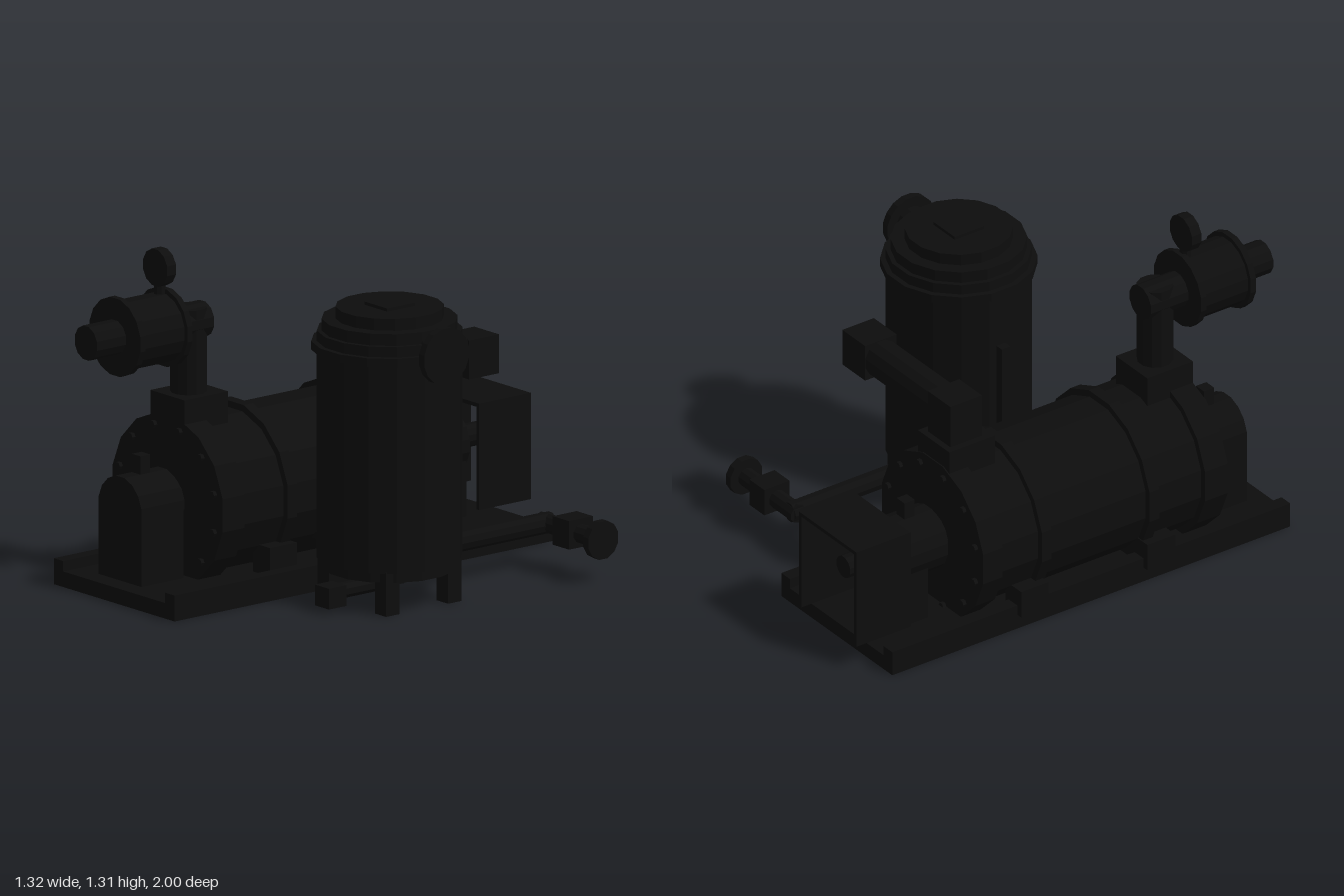
import * as THREE from 'three';

export function createModel() {
  const model = new THREE.Group();
  model.name = 'pumpSkid';
  const black = new THREE.MeshStandardMaterial({ color: 0x0d0d0d, flatShading: true });
  black.name = 'blackPaint';

  const add = (name, geometry, x, y, z) => {
    const mesh = new THREE.Mesh(geometry, black);
    mesh.name = name;
    mesh.position.set(x, y, z);
    model.add(mesh);
    return mesh;
  };
  // Box given by its extents on each axis
  const box = (name, x0, x1, y0, y1, z0, z1) =>
    add(name, new THREE.BoxGeometry(x1 - x0, y1 - y0, z1 - z0), (x0 + x1) / 2, (y0 + y1) / 2, (z0 + z1) / 2);
  // Faceted cylinder from a to b along one axis; p and q are the other two coordinates in x, y, z order
  const cyl = (name, axis, r, a, b, p, q, sides = 16) => {
    const g = new THREE.CylinderGeometry(r, r, b - a, sides);
    g.rotateY(Math.PI / sides);
    const m = (a + b) / 2;
    if (axis === 'x') { g.rotateZ(-Math.PI / 2); return add(name, g, m, p, q); }
    if (axis === 'z') { g.rotateX(Math.PI / 2); return add(name, g, p, q, m); }
    return add(name, g, p, m, q);
  };

  const PX = -0.34, PY = 0.335; // pump axis
  const VX = 0.327, VZ = 0.083; // vessel axis

  // Skid base with raised side rails
  box('basePlate', -0.63, 0.075, 0, 0.06, -0.915, 0.915);
  box('leftRail', 0.02, 0.075, 0.06, 0.1, -0.915, 0.915);
  box('rightRail', -0.63, -0.575, 0.06, 0.1, -0.915, 0.915);

  // Pump casing, end flanges and ribs
  cyl('pumpCasing', 'z', 0.302, -0.515, 0.6, PX, PY);
  for (const [a, b] of [[-0.52, -0.43], [-0.25, -0.205], [0.245, 0.29], [0.5, 0.605]])
    cyl('casingFlange', 'z', 0.328, a, b, PX, PY);
  for (const z of [0.61, -0.525])
    for (let i = 0; i < 12; i++) {
      const t = (i + 0.5) * Math.PI / 6;
      cyl('flangeBolt', 'z', 0.015, z - 0.01, z + 0.01, PX + 0.285 * Math.cos(t), PY + 0.285 * Math.sin(t), 6);
    }
  // Mounting feet
  for (const [a, b] of [[-0.34, -0.215], [0.24, 0.37]])
    for (const s of [-1, 1]) {
      const x = PX + s * 0.265;
      box('mountingFoot', x - 0.05, x + 0.05, 0.06, 0.17, a, b);
    }

  // Bearing housings with pedestals and oil cups
  cyl('frontNeck', 'z', 0.1, 0.6, 0.64, PX, PY);
  cyl('frontBearing', 'z', 0.127, 0.63, 0.835, PX, PY);
  box('frontPedestal', PX - 0.125, PX + 0.125, 0.06, PY, 0.63, 0.835);
  box('frontOilCup', PX - 0.025, PX + 0.025, 0.45, 0.53, 0.71, 0.757);
  cyl('backNeck', 'z', 0.1, -0.55, -0.51, PX, PY);
  cyl('backBearing', 'z', 0.127, -0.755, -0.54, PX, PY);
  box('backPedestal', PX - 0.11, PX + 0.11, 0.06, 0.28, -0.75, -0.62);
  box('backOilCup', PX - 0.025, PX + 0.025, 0.45, 0.53, -0.667, -0.62);

  // Drive shaft inside an open-ended guard
  cyl('driveShaft', 'z', 0.045, -0.93, -0.75, PX, PY, 12);
  box('guardTop', -0.52, -0.155, 0.495, 0.51, -1, -0.75);
  box('guardLeftWall', -0.17, -0.155, 0.1, 0.51, -1, -0.75);
  box('guardRightWall', -0.52, -0.505, 0.1, 0.51, -1, -0.75);

  // Inlet riser and silencer
  box('inletPort', PX - 0.1, PX + 0.1, 0.55, 0.735, 0.395, 0.605);
  cyl('inletRiser', 'y', 0.069, 0.72, 1.06, PX, 0.503, 12);
  cyl('inletElbow', 'z', 0.07, 0.435, 0.63, PX, 1.003, 12);
  cyl('silencerBody', 'z', 0.134, 0.62, 0.84, PX, 1.003);
  cyl('silencerFrontFlange', 'z', 0.152, 0.835, 0.86, PX, 1.003);
  cyl('silencerBackFlange', 'z', 0.152, 0.607, 0.632, PX, 1.003);
  cyl('inletNozzle', 'z', 0.067, 0.85, 1, PX, 1.003, 12);
  cyl('handwheelStem', 'y', 0.022, 1.12, 1.2, PX, 0.643, 8);
  cyl('handwheel', 'z', 0.073, 0.622, 0.665, PX, 1.237, 12);

  // Outlet duct from the pump to the vessel
  box('outletPort', PX - 0.1, PX + 0.1, 0.55, 0.735, -0.515, -0.305);
  box('outletRiser', PX - 0.072, PX + 0.072, 0.72, 0.91, -0.49, -0.345);
  cyl('outletPipe', 'x', 0.074, -0.3, 0.15, 0.835, -0.418, 12);
  box('outletElbow', 0.13, 0.275, 0.76, 0.91, -0.49, -0.345);

  // Separator vessel with stepped lid
  for (const [name, r, a, b] of [
    ['vesselBottom', 0.25, 0.125, 0.17], ['vesselBody', 0.273, 0.165, 1.04], ['vesselFlange', 0.294, 0.967, 1],
    ['lidLower', 0.255, 1.04, 1.085], ['lidUpper', 0.203, 1.085, 1.13]])
    cyl(name, 'y', r, a, b, VX, VZ);
  box('lidPlate', VX - 0.067, VX + 0.067, 1.12, 1.142, VZ - 0.067, VZ + 0.067);
  for (const sx of [-1, 1])
    for (const sz of [-1, 1]) {
      const x = VX + sx * 0.167, z = VZ + sz * 0.15;
      box('vesselLeg', x - 0.033, x + 0.033, 0, 0.17, z - 0.033, z + 0.033);
    }
  // Vessel fittings: upper nozzle, sight tube, drain, link to the pump
  cyl('upperNozzle', 'x', 0.07, 0.56, 0.64, 1, VZ, 12);
  cyl('upperNozzleFlange', 'x', 0.11, 0.63, 0.66, 1, VZ);
  box('sightTube', 0.026, 0.07, 0.25, 0.75, VZ - 0.02, VZ + 0.02);
  box('drainValve', 0.285, 0.367, 0.02, 0.1, 0.325, 0.41);
  cyl('drainPipe', 'z', 0.03, VZ, 0.34, VX, 0.07, 8);
  cyl('drainStub', 'y', 0.03, 0.05, 0.15, VX, VZ, 8);
  cyl('linkPipe', 'x', 0.04, -0.12, 0.11, 0.163, 0.063, 10);

  // Return line with valve and end flange
  cyl('returnPipe', 'z', 0.04, -0.695, -0.13, VX, 0.163, 10);
  cyl('returnBranch', 'x', 0.037, VX - 0.03, 0.64, 0.163, -0.675, 10);
  box('returnValve', 0.435, 0.53, 0.11, 0.22, -0.733, -0.617);
  cyl('returnFlange', 'x', 0.075, 0.63, 0.66, 0.163, -0.675, 12);

  return model;
}
